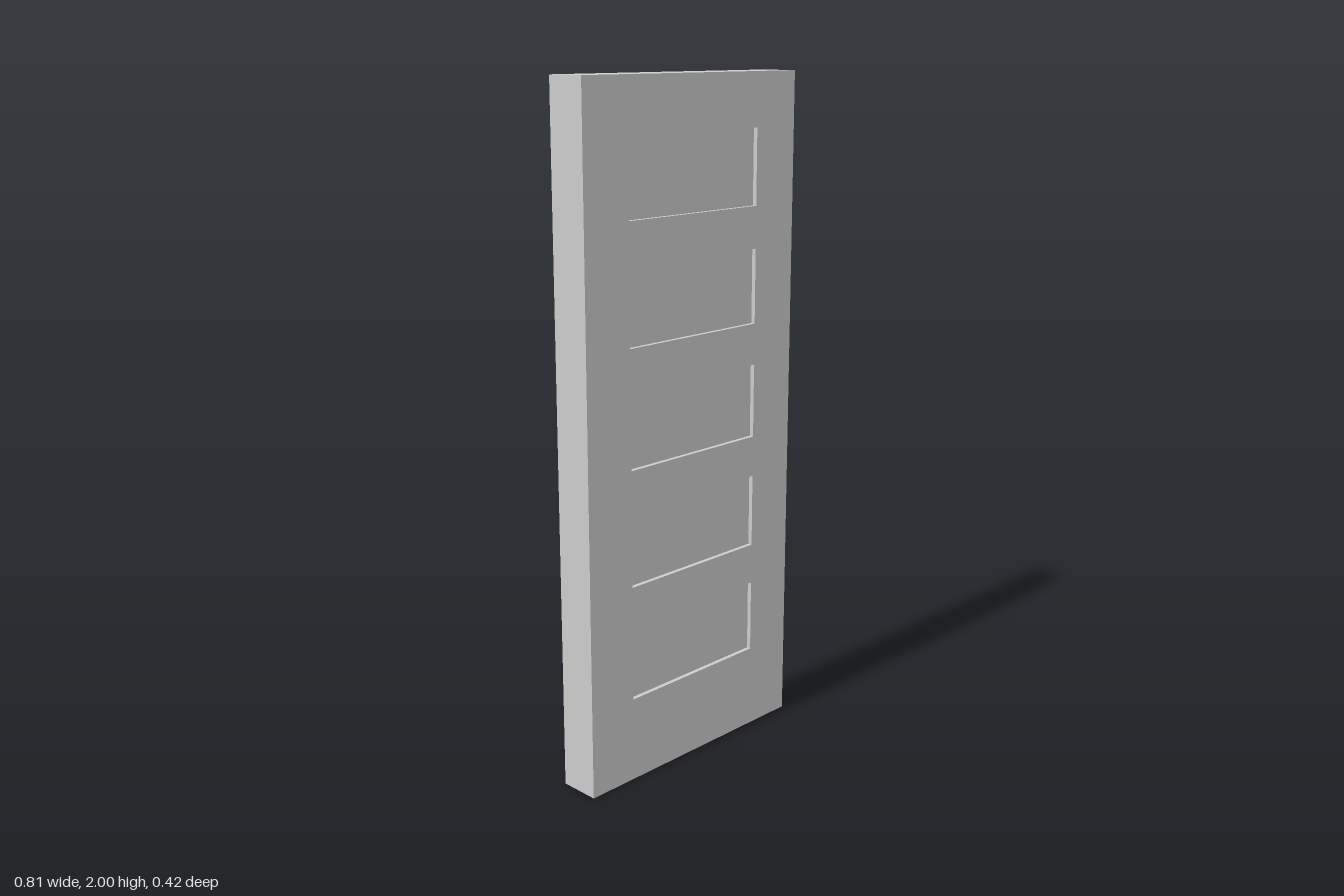
import * as THREE from 'three';

const W = 0.82, H = 2, D = 0.122;      // outer frame size
const JAMB = 0.027, STOP = 0.012;      // frame and stop thickness
const DOOR = 0.04, STOP_DEPTH = 0.035; // depths measured from the front
const RECESS = 0.013;                  // panel recess on each face

const material = new THREE.MeshStandardMaterial({ color: 0xcccccc });

function extrude(name, shape, depth, backZ) {
  const geometry = new THREE.ExtrudeGeometry(shape, { depth, bevelEnabled: false });
  const mesh = new THREE.Mesh(geometry, material);
  mesh.name = name;
  mesh.position.z = backZ;
  return mesh;
}

// Upside-down U: two uprights and a head, open at the floor
function portal(halfWidth, height, t) {
  const a = halfWidth, b = halfWidth - t;
  return new THREE.Shape([
    [-a, 0], [-b, 0], [-b, height - t], [b, height - t],
    [b, 0], [a, 0], [a, height], [-a, height],
  ].map(([x, y]) => new THREE.Vector2(x, y)));
}

function rectangle(Type, x0, y0, x1, y1) {
  return new Type([[x0, y0], [x1, y0], [x1, y1], [x0, y1]]
    .map(([x, y]) => new THREE.Vector2(x, y)));
}

export function createModel() {
  const group = new THREE.Group();
  group.name = 'door';
  const front = D / 2;
  const inner = W / 2 - JAMB, innerTop = H - JAMB;

  // Frame, with the stop the leaf closes against
  group.add(extrude('frame', portal(W / 2, H, JAMB), D, -front));
  group.add(extrude('doorStop', portal(inner, innerTop, STOP), STOP_DEPTH, front - DOOR - STOP_DEPTH));

  // Leaf, flush with the front of the frame, with five panel openings
  const leaf = rectangle(THREE.Shape, -inner, 0, inner, innerTop);
  const panelW = 0.502, panelH = 0.22;
  for (let i = 0; i < 5; i++) {
    const y = 0.363 + i * 0.343;
    leaf.holes.push(rectangle(THREE.Path, -panelW / 2, y - panelH / 2, panelW / 2, y + panelH / 2));

    // Thin panel set back from both faces
    const panel = new THREE.Mesh(new THREE.BoxGeometry(panelW, panelH, DOOR - 2 * RECESS), material);
    panel.name = `panel${i + 1}`;
    panel.position.set(0, y, front - DOOR / 2);
    group.add(panel);
  }
  group.add(extrude('leaf', leaf, DOOR, front - DOOR));

  // The whole door stands turned about the vertical
  group.rotation.y = THREE.MathUtils.degToRad(22.1);
  return group;
}
